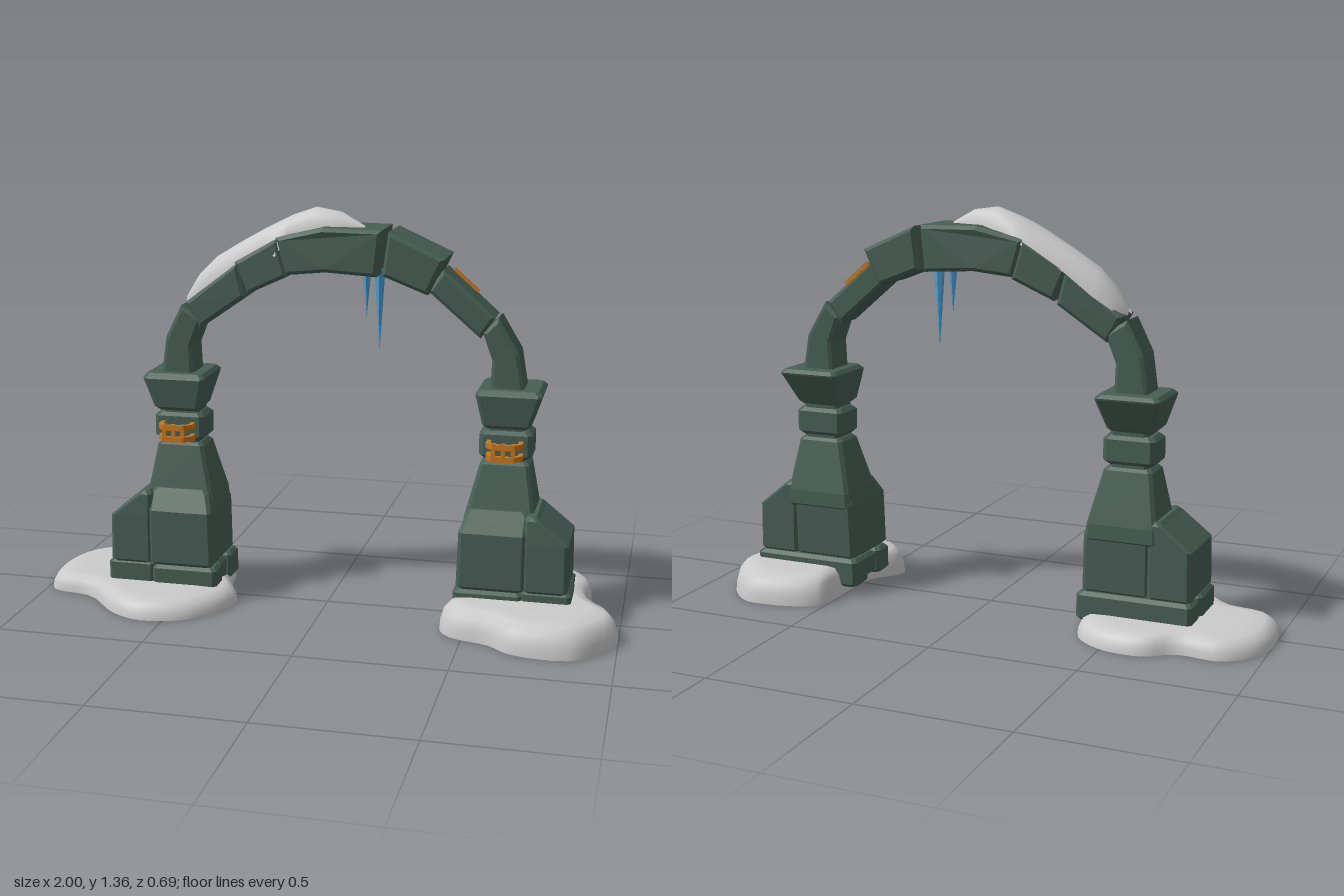
import * as THREE from 'three';

const flat = (color) => new THREE.MeshStandardMaterial({ color, flatShading: true });
const stone = flat(0x475f55);
const bronze = flat(0xc87820);
const ice = new THREE.MeshStandardMaterial({ color: 0x4fa0d8, flatShading: true });
const snow = new THREE.MeshStandardMaterial({ color: 0xcccccc, side: THREE.DoubleSide });

function add(parent, name, geometry, material) {
  const mesh = new THREE.Mesh(geometry, material);
  mesh.name = name;
  parent.add(mesh);
  return mesh;
}

// Skin between rows of equally many points; closed rows wrap round, caps fill the ends
function loft(rows, closed = true, caps = true) {
  const n = rows[0].length, index = [];
  for (let r = 0; r < rows.length - 1; r++) {
    for (let i = 0; i < (closed ? n : n - 1); i++) {
      const a = r * n + i, b = r * n + (i + 1) % n;
      index.push(a, a + n, b, b, a + n, b + n);
    }
  }
  if (caps) {
    const top = (rows.length - 1) * n;
    for (let i = 1; i < n - 1; i++) {
      index.push(0, i, i + 1, top, top + i + 1, top + i);
    }
  }
  const g = new THREE.BufferGeometry();
  g.setAttribute('position', new THREE.Float32BufferAttribute(rows.flat(2), 3));
  g.setIndex(index);
  g.computeVertexNormals();
  return g;
}

// Chamfered block from levels [y, u0, u1, z0, z1]; u runs outward on side s
function block(s, levels, c = 0.012) {
  const ring = ([y, u0, u1, z0, z1], inset = 0) => {
    const xs = [0.04 + s * u0, 0.04 + s * u1].sort((a, b) => a - b);
    const l = xs[0] + inset, r = xs[1] - inset, b = z0 + inset, f = z1 - inset;
    return [[l + c, y, b], [r - c, y, b], [r, y, b + c], [r, y, f - c],
      [r - c, y, f], [l + c, y, f], [l, y, f - c], [l, y, b + c]];
  };
  const first = levels[0], last = levels[levels.length - 1];
  const rise = (v, d) => [v[0] + d, ...v.slice(1)];
  return loft([ring(first, c), ring(rise(first, c)),
    ...levels.slice(1, -1).map((v) => ring(v)), ring(rise(last, -c)), ring(last, c)]);
}

// Arch stone: outline in xy, bevelled, with a depth that may vary along x
function archStone(points, half) {
  const shape = new THREE.Shape(points.map(([x, y]) => new THREE.Vector2(x, y)));
  const b = 0.012;
  const g = new THREE.ExtrudeGeometry(shape, {
    depth: 2 - 2 * b / 0.1, bevelEnabled: true, bevelThickness: b / 0.1,
    bevelSize: b, bevelOffset: -b, bevelSegments: 1,
  });
  g.translate(0, 0, -1 + b / 0.1);
  const p = g.attributes.position;
  for (let i = 0; i < p.count; i++) p.setZ(i, -0.052 + p.getZ(i) * half(p.getX(i)));
  g.computeVertexNormals();
  return g;
}

// Low snow mound over an outline of [x, z] points, open underneath
function mound(outline, height) {
  const curve = new THREE.CatmullRomCurve3(
    outline.map(([x, z]) => new THREE.Vector3(x, 0, z)), true);
  const pts = curve.getPoints(48).slice(0, -1);
  const centre = pts.reduce((a, p) => a.add(p), new THREE.Vector3()).divideScalar(pts.length);
  const profile = [[1, 0], [0.99, 0.35], [0.95, 0.72], [0.87, 0.96], [0.7, 1], [0.001, 1]];
  return loft(profile.map(([k, h]) => pts.map((p) => [
    centre.x + (p.x - centre.x) * k, h * height, centre.z + (p.z - centre.z) * k])), true, false);
}

function pillar(s) {
  const g = new THREE.Group();
  g.name = s > 0 ? 'leftPillar' : 'rightPillar';
  // Plinth slabs with narrow joints between them
  add(g, 'plinthFrontSlab', block(s, [[0.03, 0.41, 0.64, 0.03, 0.115], [0.125, 0.41, 0.64, 0.03, 0.115]]), stone);
  add(g, 'plinthMiddleSlab', block(s, [[0.04, 0.42, 0.78, -0.06, 0.035], [0.12, 0.42, 0.78, -0.06, 0.035]]), stone);
  add(g, 'plinthBackSlab', block(s, [[0.03, 0.405, 0.795, -0.155, -0.055], [0.13, 0.405, 0.795, -0.155, -0.055]]), stone);
  add(g, 'plinthOuterSlab', block(s, [[0.045, 0.635, 0.8, -0.05, 0.11], [0.135, 0.635, 0.8, -0.05, 0.11]]), stone);
  // Twin body blocks with sloping shoulders
  add(g, 'innerBodyBlock', block(s, [[0.125, 0.42, 0.648, -0.14, 0.118], [0.32, 0.425, 0.648, -0.145, 0.115],
    [0.39, 0.445, 0.65, -0.13, 0.075]]), stone);
  add(g, 'outerBodyBlock', block(s, [[0.125, 0.64, 0.788, -0.145, 0.115], [0.295, 0.64, 0.786, -0.145, 0.112],
    [0.385, 0.64, 0.69, -0.145, 0.105]]), stone);
  // Tapered shaft, neck and flared capital
  add(g, 'shaft', block(s, [[0.3, 0.43, 0.675, -0.15, 0.075], [0.36, 0.435, 0.67, -0.148, 0.06],
    [0.545, 0.478, 0.642, -0.11, 0.018]]), stone);
  add(g, 'neckCore', block(s, [[0.53, 0.495, 0.625, -0.1, 0.008], [0.68, 0.495, 0.625, -0.1, 0.008]]), stone);
  add(g, 'neck', block(s, [[0.55, 0.474, 0.65, -0.112, 0.02], [0.65, 0.474, 0.65, -0.112, 0.02]], 0.015), stone);
  add(g, 'capital', block(s, [[0.658, 0.485, 0.645, -0.11, 0.038], [0.77, 0.463, 0.678, -0.168, 0.052],
    [0.788, 0.463, 0.678, -0.17, 0.048]]), stone);

  // Bronze bracket: two bent bands and upright clasps
  const bracket = new THREE.Group();
  bracket.name = 'bracket';
  bracket.position.set(0.04 + s * 0.562, 0.59, 0);
  const band = new THREE.Shape([[-0.06, 0.01], [-0.06, 0.055], [-0.035, 0.085], [0.035, 0.085], [0.06, 0.055],
    [0.06, 0.01], [0.045, 0.01], [0.045, 0.05], [0.028, 0.07], [-0.028, 0.07], [-0.045, 0.05], [-0.045, 0.01]]
    .map(([x, z]) => new THREE.Vector2(x, -z)));
  for (const y of [-0.03, 0.01]) {
    const geo = new THREE.ExtrudeGeometry(band, { depth: 0.018, bevelEnabled: false });
    geo.rotateX(-Math.PI / 2).translate(0, y, 0);
    add(bracket, 'band', geo, bronze);
  }
  for (const x of [-0.032, 0, 0.032]) {
    add(bracket, 'clasp', new THREE.BoxGeometry(0.014, 0.062, 0.014), bronze).position.set(x, 0, 0.076);
  }
  g.add(bracket);
  return g;
}

export function createModel() {
  const model = new THREE.Group();
  model.name = 'snowyStoneArch';
  model.add(pillar(-1), pillar(1));

  // Ring of arch stones, thicker toward the crown
  const taper = (x) => THREE.MathUtils.mapLinear(THREE.MathUtils.clamp(x, -0.45, -0.03), -0.45, -0.03, 0.062, 0.106);
  const thin = () => 0.06, thick = () => 0.106;
  const arch = new THREE.Group();
  arch.name = 'arch';
  const stones = [
    ['rightSpringer', [[-0.585, 0.77], [-0.47, 0.77], [-0.475, 0.88], [-0.437, 0.975], [-0.51, 1.02], [-0.565, 0.91]], thin],
    ['rightLowerStone', [[-0.495, 1.03], [-0.445, 0.945], [-0.28, 1.06], [-0.308, 1.17]], taper],
    ['rightUpperStone', [[-0.315, 1.175], [-0.27, 1.07], [-0.13, 1.135], [-0.165, 1.26]], taper],
    ['crownStone', [[-0.17, 1.262], [-0.135, 1.14], [0, 1.155], [0.172, 1.145], [0.188, 1.297], [-0.01, 1.3]], taper],
    ['leftUpperStone', [[0.21, 1.293], [0.19, 1.15], [0.34, 1.092], [0.395, 1.21]], thick],
    ['leftLowerStone', [[0.385, 1.172], [0.335, 1.1], [0.51, 0.95], [0.558, 1.02]], thin],
    ['leftSpringer', [[0.66, 0.77], [0.637, 0.905], [0.568, 1.02], [0.517, 0.97], [0.55, 0.88], [0.545, 0.77]], thin],
  ];
  for (const [name, outline, half] of stones) add(arch, name, archStone(outline, half), stone);
  model.add(arch);

  // Bronze strip set along the back edge of one arch stone
  const strip = add(model, 'bronzeStrip', new THREE.BoxGeometry(0.11, 0.014, 0.016), bronze);
  strip.position.set(0.445, 1.122, -0.103);
  strip.rotation.z = -0.72;

  // Icicles under the crown
  for (const [x, z, top, length, r] of [[0.125, -0.03, 1.16, 0.16, 0.016], [0.165, -0.05, 1.16, 0.28, 0.019]]) {
    const geo = new THREE.ConeGeometry(r, length, 6).rotateX(Math.PI);
    add(model, 'icicle', geo, ice).position.set(x, top - length / 2, z);
  }

  // Snow mounds round the feet
  add(model, 'rightSnowMound', mound([[-0.98, -0.16], [-0.88, -0.255], [-0.74, -0.25], [-0.64, -0.31], [-0.5, -0.3],
    [-0.4, -0.22], [-0.36, -0.05], [-0.305, 0.09], [-0.41, 0.27], [-0.57, 0.32], [-0.69, 0.27], [-0.82, 0.14],
    [-0.97, 0.1], [-1, -0.01]], 0.062), snow);
  add(model, 'leftSnowMound', mound([[0.52, -0.29], [0.71, -0.345], [0.79, -0.33], [0.89, -0.21], [0.885, -0.08],
    [0.92, 0.03], [1, 0.15], [0.94, 0.27], [0.86, 0.34], [0.67, 0.33], [0.59, 0.27], [0.46, 0.23], [0.415, 0.15],
    [0.49, 0.05], [0.5, -0.05], [0.5, -0.19]], 0.1), snow);

  // Snow drift on the arch: stations [x, back z, front z, back y, crest y, front y]
  const drift = [
    [-0.5, -0.07, -0.03, 1.03, 1.05, 1.03], [-0.46, -0.115, -0.01, 1.05, 1.12, 1.05],
    [-0.4, -0.125, 0.0, 1.09, 1.18, 1.09], [-0.31, -0.13, 0.005, 1.16, 1.235, 1.16],
    [-0.22, -0.135, 0.02, 1.215, 1.285, 1.215], [-0.17, -0.14, 0.042, 1.24, 1.31, 1.2],
    [-0.13, -0.135, 0.015, 1.26, 1.33, 1.265], [-0.05, -0.12, 0.01, 1.285, 1.358, 1.285],
    [0.04, -0.08, 0.0, 1.29, 1.345, 1.29], [0.12, -0.04, -0.015, 1.295, 1.302, 1.295],
  ];
  const rows = drift.map(([x, zb, zf, yb, yc, yf]) => Array.from({ length: 9 }, (_, i) => {
    const a = Math.PI * i / 8, t = (1 - Math.cos(a)) / 2;
    const edge = THREE.MathUtils.lerp(yb, yf, t);
    return [x, edge + (yc - edge) * Math.sin(a), THREE.MathUtils.lerp(zb, zf, t)];
  }));
  add(model, 'archSnow', loft(rows.reverse(), false, false), snow);
  return model;
}
